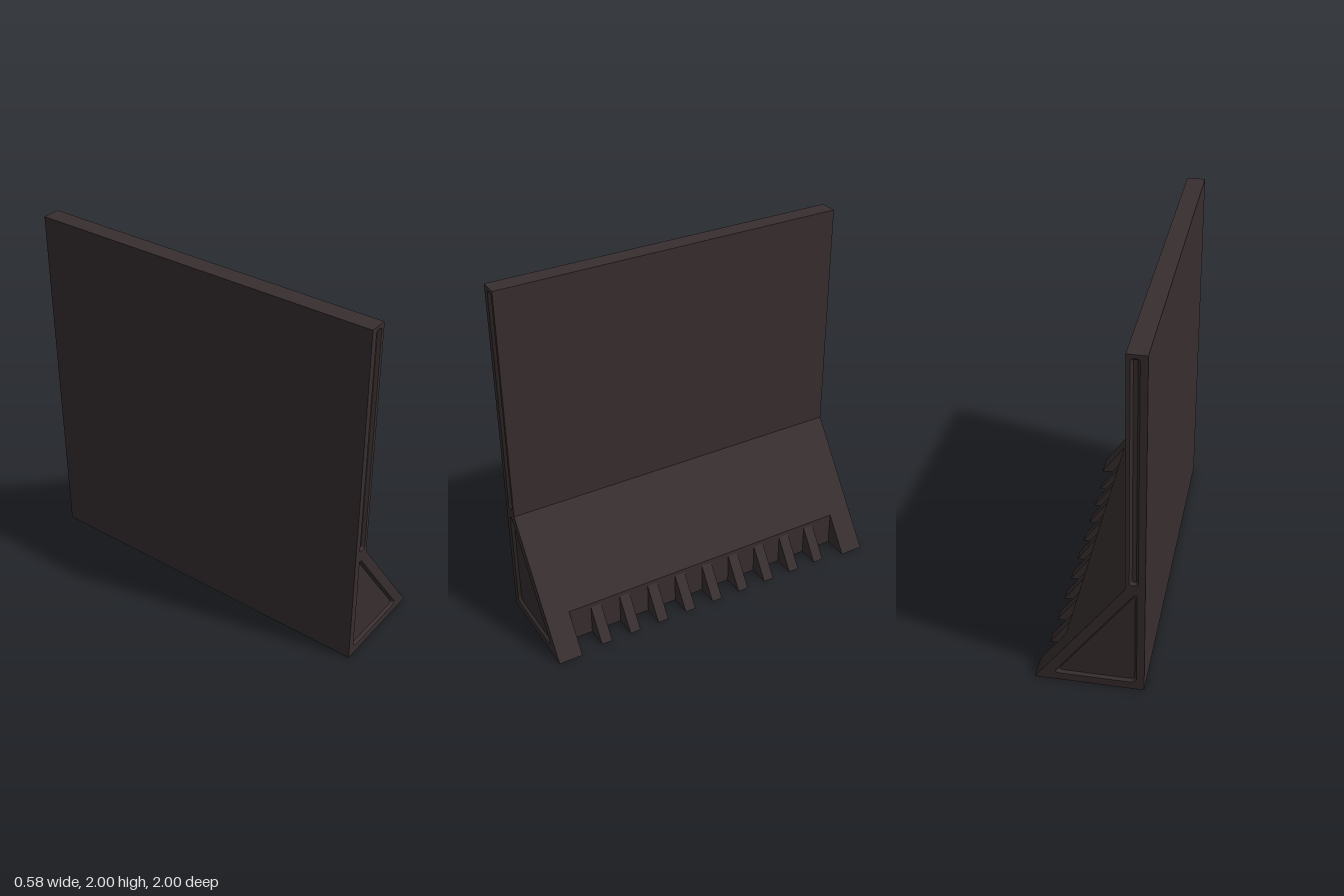
import * as THREE from 'three';

const shell = new THREE.MeshStandardMaterial({ color: 0x382e2f, side: THREE.DoubleSide });
shell.name = 'dark brown';

// Wall cross-section in x, y
const BACK = -0.29, FRONT = -0.19, TOE = 0.29, KNEE = 0.67, TOP = 2, END = 1;
// Slot cut in the toe
const SLOT_X = 0.147, SLOT_Y = 0.2, SLOT_Z = 0.865;

// Flat-shaded mesh from a list of polygons (3 or 4 corners, counter-clockwise from outside)
function faces(name, polygons) {
  const pos = [];
  for (const p of polygons) {
    for (let i = 1; i < p.length - 1; i++) pos.push(...p[0], ...p[i], ...p[i + 1]);
  }
  const g = new THREE.BufferGeometry();
  g.setAttribute('position', new THREE.Float32BufferAttribute(pos, 3));
  g.computeVertexNormals();
  const m = new THREE.Mesh(g, shell);
  m.name = name;
  return m;
}

// Panel running along z between z0 and z1, from lower point a to upper point b, facing +x
const panel = (a, b, z0, z1) => [[...a, z1], [...a, z0], [...b, z0], [...b, z1]];

// Closed outline with rounded corners, r = length trimmed at each corner
function roundedLoop(corners, r) {
  const pts = corners.map((c) => new THREE.Vector2(...c));
  const out = [];
  pts.forEach((p, i) => {
    const prev = pts[(i + pts.length - 1) % pts.length], next = pts[(i + 1) % pts.length];
    const a = p.clone().add(prev.clone().sub(p).setLength(r));
    const b = p.clone().add(next.clone().sub(p).setLength(r));
    out.push(...new THREE.QuadraticBezierCurve(a, p, b).getPoints(5));
  });
  return out;
}

// End face with two sunken panels
function createEnd() {
  const end = new THREE.Group();
  const depth = 0.015;
  const recesses = [
    { name: 'lowerRecess',
      outer: roundedLoop([[-0.25, 0.045], [0.19, 0.045], [-0.25, 0.66]], 0.035),
      inner: roundedLoop([[-0.238, 0.057], [0.167, 0.057], [-0.238, 0.623]], 0.028) },
    { name: 'upperRecess',
      outer: roundedLoop([[-0.255, 0.7], [-0.21, 0.7], [-0.21, 1.98], [-0.255, 1.98]], 0.016),
      inner: roundedLoop([[-0.243, 0.712], [-0.222, 0.712], [-0.222, 1.968], [-0.243, 1.968]], 0.008) },
  ];

  const outline = new THREE.Shape(
    [[BACK, 0], [TOE, 0], [FRONT, KNEE], [FRONT, TOP], [BACK, TOP]].map((c) => new THREE.Vector2(...c)));
  for (const { name, outer, inner } of recesses) {
    outline.holes.push(new THREE.Path(outer));
    const rim = outer.map((p, i) => {
      const j = (i + 1) % outer.length;
      return [[p.x, p.y, END], [outer[j].x, outer[j].y, END],
        [inner[j].x, inner[j].y, END - depth], [inner[i].x, inner[i].y, END - depth]];
    });
    const floor = new THREE.Mesh(new THREE.ShapeGeometry(new THREE.Shape(inner)), shell);
    floor.position.z = END - depth;
    floor.name = name + 'Floor';
    end.add(faces(name + 'Rim', rim), floor);
  }
  const cap = new THREE.Mesh(new THREE.ShapeGeometry(outline), shell);
  cap.position.z = END;
  cap.name = 'endFace';
  end.add(cap);
  return end;
}

export function createModel() {
  const model = new THREE.Group();
  model.name = 'barrierWall';

  // Upright slab; the underside is open
  model.add(faces('upright', [
    panel([FRONT, KNEE], [FRONT, TOP], -END, END),
    panel([FRONT, TOP], [BACK, TOP], -END, END),
    panel([BACK, TOP], [BACK, 0], -END, END),
  ]));

  // Sloping foot with a full-width slot between two solid toes
  model.add(faces('slopingFoot', [
    panel([SLOT_X, SLOT_Y], [FRONT, KNEE], -END, END),
    panel([TOE, 0], [SLOT_X, SLOT_Y], SLOT_Z, END),
    panel([TOE, 0], [SLOT_X, SLOT_Y], -END, -SLOT_Z),
  ]));
  model.add(faces('slotWalls', [
    panel([SLOT_X, 0], [SLOT_X, SLOT_Y], -SLOT_Z, SLOT_Z),
    [[SLOT_X, 0, -SLOT_Z], [TOE, 0, -SLOT_Z], [SLOT_X, SLOT_Y, -SLOT_Z]],
    [[SLOT_X, 0, SLOT_Z], [SLOT_X, SLOT_Y, SLOT_Z], [TOE, 0, SLOT_Z]],
  ]));

  // Wedge teeth along the slot
  const tipX = 0.268, toothTop = 0.175, half = 0.031;
  for (let i = -4; i <= 4; i++) {
    const a = i * 0.176 - half, b = i * 0.176 + half;
    model.add(faces('tooth', [
      panel([tipX, 0], [SLOT_X, toothTop], a, b),
      [[SLOT_X, 0, b], [tipX, 0, b], [SLOT_X, toothTop, b]],
      [[SLOT_X, 0, a], [SLOT_X, toothTop, a], [tipX, 0, a]],
    ]));
  }

  // Matching ends
  const frontEnd = createEnd();
  frontEnd.name = 'frontEnd';
  const backEnd = createEnd();
  backEnd.name = 'backEnd';
  backEnd.scale.z = -1;
  model.add(frontEnd, backEnd);
  return model;
}
